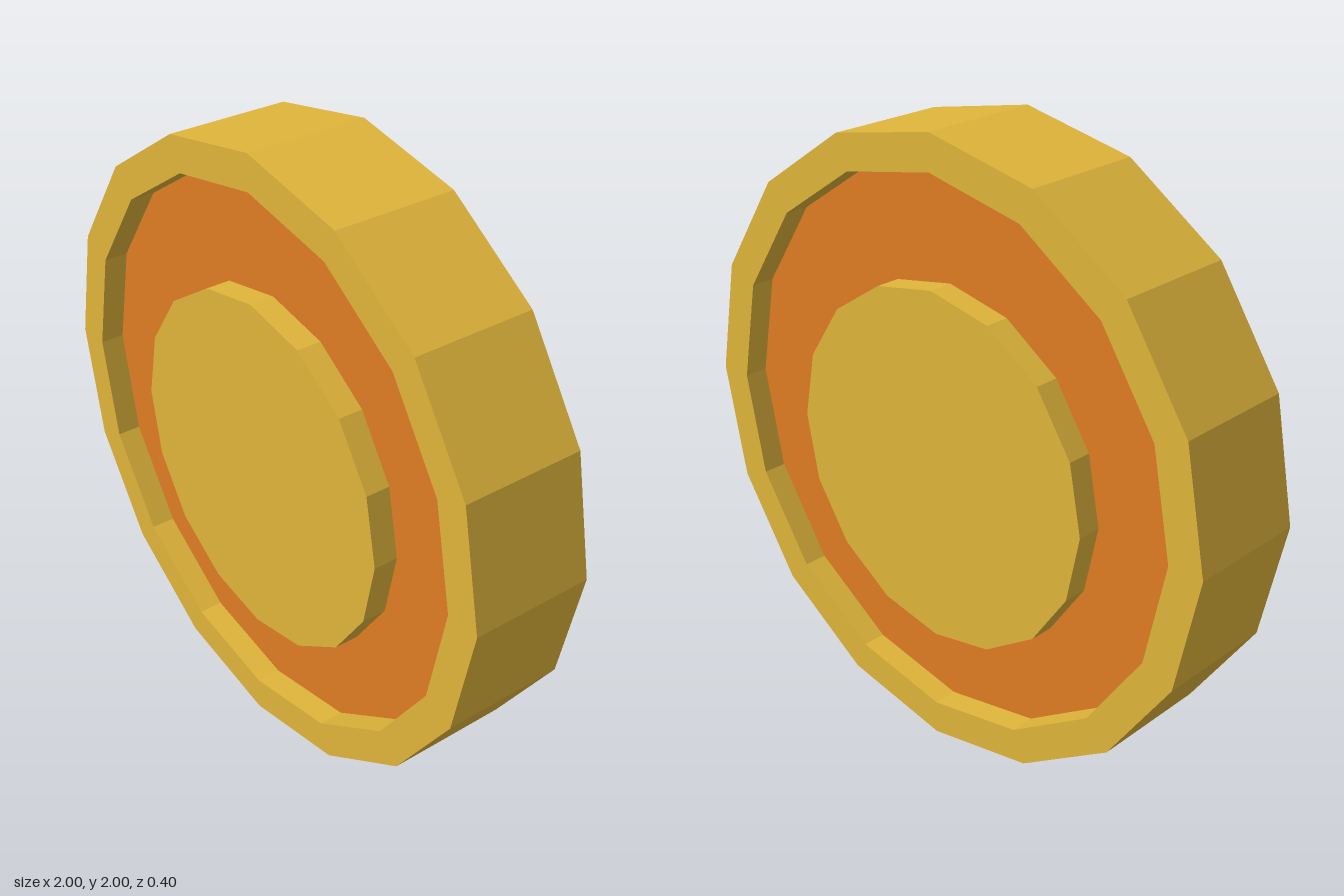
import * as THREE from 'three';

const SIDES = 16;
const HALF = 0.2;      // half thickness
const RECESS = 0.08;   // depth of the orange groove on each face
const RIM_INNER = 0.886;

export function createModel() {
  const model = new THREE.Group();
  model.name = 'coin';

  const gold = new THREE.MeshStandardMaterial({ color: 0xe0b53b, flatShading: true });
  const orange = new THREE.MeshStandardMaterial({ color: 0xe07d23, flatShading: true });

  // Turns a part's axis towards the front and lifts it to its centre height
  const add = (name, geometry, material, y) => {
    geometry.rotateX(Math.PI / 2);
    const mesh = new THREE.Mesh(geometry, material);
    mesh.name = name;
    mesh.position.y = y;
    model.add(mesh);
  };

  // Outer rim, with the inner walls of both grooves
  const floor = HALF - RECESS;
  const profile = [
    [RIM_INNER, -floor], [RIM_INNER, -HALF], [1, -HALF],
    [1, HALF], [RIM_INNER, HALF], [RIM_INNER, floor],
  ].map(([r, h]) => new THREE.Vector2(r, h));
  add('rim', new THREE.LatheGeometry(profile, SIDES), gold, 1);

  // Recessed orange plate
  add('recessedPlate', new THREE.CylinderGeometry(RIM_INNER, RIM_INNER, floor * 2, SIDES), orange, 1);

  // Raised centre disc, flush with the rim and set slightly low
  add('centreDisc', new THREE.CylinderGeometry(0.58, 0.58, HALF * 2, SIDES), gold, 0.96);

  return model;
}
